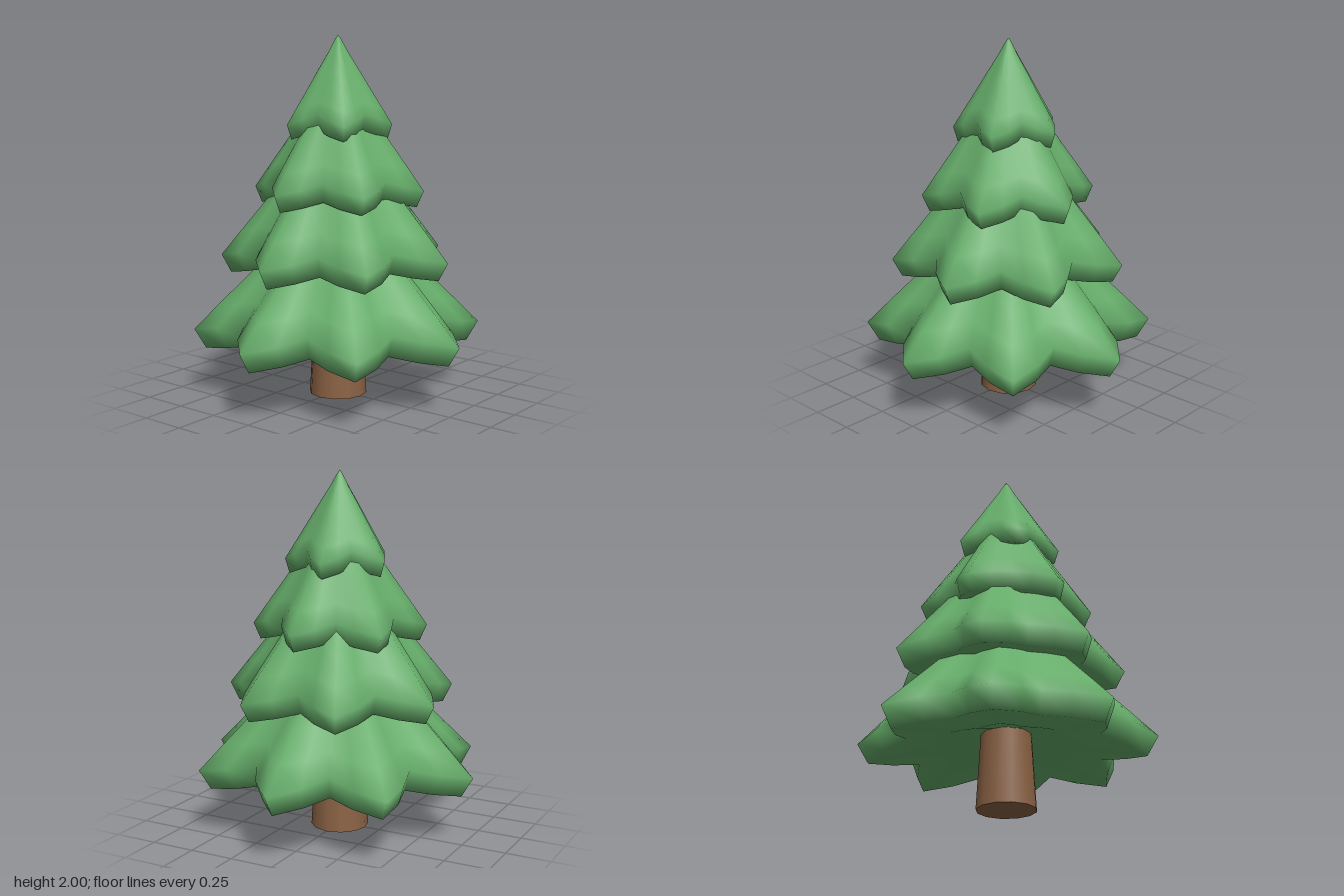
import * as THREE from 'three';

const LOBE = 0.163; // how far the branch tips stand out from the mean radius

// Rings of one tier from under the apex, over the rim, to the underside:
// [radius fraction, height fraction of the cone, drop below the rim]
const RINGS = [
  [0.06, 0.955, 0], [0.2, 0.81, 0], [0.45, 0.57, 0], [0.65, 0.365, 0],
  [0.84, 0.17, 0], [1, 0, 0], [0.925, 0, 1], [0.5, 0, 0.45],
];

// Star-shaped cone of branches with smooth normals and four steps per lobe
function tierGeometry({ radius, rimY, height, lip, lobes, phase, droop }) {
  const n = lobes * 4;
  const mean = radius / (1 + LOBE);
  const pos = [], index = [];
  for (const [f, h, drop] of RINGS) {
    const strength = Math.sqrt(f);
    for (let i = 0; i < n; i++) {
      const a = (i / n) * Math.PI * 2;
      const c = Math.cos(lobes * a);
      const r = mean * f * (1 + LOBE * strength * c);
      const y = rimY + h * height - drop * lip + droop * f * f * (1 - c);
      pos.push(r * Math.cos(a + phase), y, r * Math.sin(a + phase));
    }
  }
  const last = RINGS.length - 1;
  const apex = pos.length / 3, hollow = apex + 1;
  pos.push(0, rimY + height, 0, 0, rimY + lip * 0.6, 0);
  for (let i = 0; i < n; i++) {
    const j = (i + 1) % n;
    index.push(apex, j, i);
    for (let k = 0; k < last; k++) {
      const a = k * n + i, b = k * n + j;
      index.push(a, b, a + n, b, b + n, a + n);
    }
    index.push(last * n + i, last * n + j, hollow);
  }
  const g = new THREE.BufferGeometry();
  g.setAttribute('position', new THREE.Float32BufferAttribute(pos, 3));
  g.setIndex(index);
  g.computeVertexNormals();
  return g;
}

export function createModel() {
  const green = new THREE.MeshStandardMaterial({ color: 0x66ad6a });
  green.name = 'needle green';
  const brown = new THREE.MeshStandardMaterial({ color: 0x8a6244 });
  brown.name = 'bark brown';

  const tree = new THREE.Group();
  tree.name = 'pineTree';

  // Tapered trunk
  const trunk = new THREE.Mesh(new THREE.CylinderGeometry(0.13, 0.162, 0.55, 12), brown);
  trunk.name = 'trunk';
  trunk.position.y = 0.275;
  tree.add(trunk);

  // Four tiers of branches, each with one lobe fewer than the one below
  const deg = Math.PI / 180;
  const tiers = [
    { name: 'bottomTier', radius: 0.805, rimY: 0.385, height: 0.8, lip: 0.11, lobes: 8, phase: 0, droop: 0.033 },
    { name: 'lowerMiddleTier', radius: 0.65, rimY: 0.79, height: 0.8, lip: 0.1, lobes: 7, phase: Math.PI, droop: 0.032 },
    { name: 'upperMiddleTier', radius: 0.48, rimY: 1.16, height: 0.68, lip: 0.09, lobes: 6, phase: 5.5 * deg, droop: 0.031 },
    { name: 'topTier', radius: 0.3, rimY: 1.52, height: 0.48, lip: 0.08, lobes: 5, phase: -8 * deg, droop: 0.03 },
  ];
  for (const t of tiers) {
    const mesh = new THREE.Mesh(tierGeometry(t), green);
    mesh.name = t.name;
    tree.add(mesh);
  }
  return tree;
}
